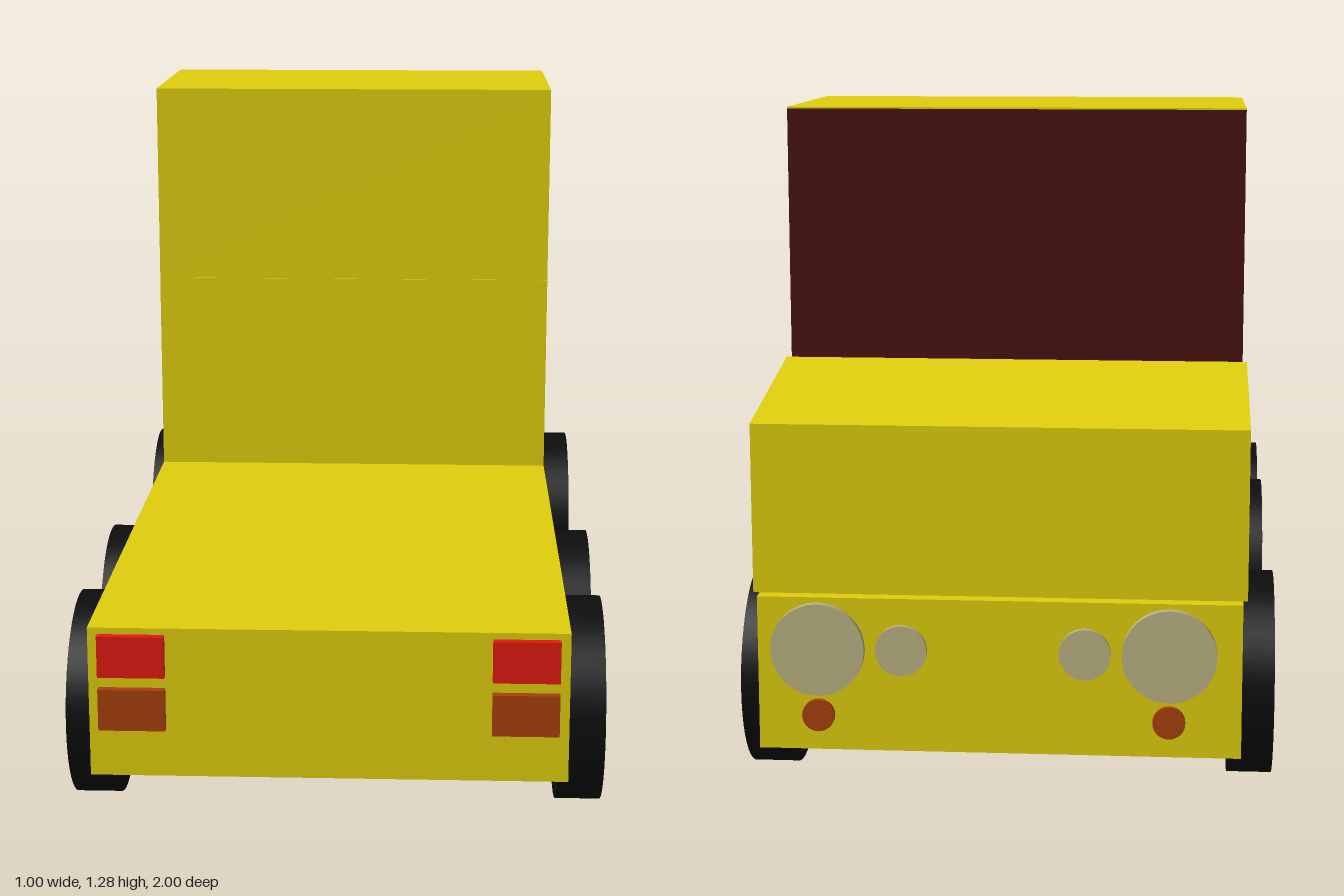
import * as THREE from 'three';

const mat = (color) => new THREE.MeshStandardMaterial({ color });

export function createModel() {
  const truck = new THREE.Group();
  truck.name = 'truck';
  const yellow = mat(0xdfce0c), glass = mat(0x481010), rubber = mat(0x0d0d0d);
  const red = mat(0xe01a10), amber = mat(0xa8400e), lampGlass = mat(0xbab384);
  const midX = -0.005; // the body sits slightly off the wheel centreline

  const add = (name, geometry, material) => {
    const mesh = new THREE.Mesh(geometry, material);
    mesh.name = name;
    truck.add(mesh);
    return mesh;
  };
  // Box given by its minimum and maximum corners
  const box = (name, material, [x0, y0, z0], [x1, y1, z1]) =>
    add(name, new THREE.BoxGeometry(x1 - x0, y1 - y0, z1 - z0), material)
      .position.set((x0 + x1) / 2, (y0 + y1) / 2, (z0 + z1) / 2);

  // Flat chassis bed
  box('chassis', yellow, [-0.435, 0.155, -0.985], [0.425, 0.435, 0.985]);

  // Cab: painted lower half, dark glazing, painted roof and rear wall
  box('cabBody', yellow, [-0.435, 0.435, -0.598], [0.425, 0.86, -0.138]);
  box('cabWindows', glass, [-0.435, 0.86, -0.598], [0.425, 1.276, -0.144]);
  box('windscreen', glass, [-0.435, 0.437, -0.601], [0.425, 1.276, -0.598]);
  box('cabRoof', yellow, [-0.435, 1.276, -0.601], [0.425, 1.279, -0.14]);
  box('cabRearWall', yellow, [-0.435, 0.86, -0.144], [0.425, 1.276, -0.14]);

  // Bonnet with a sloping top, extruded across the width
  const side = new THREE.Shape([
    new THREE.Vector2(0.61, 0.44), new THREE.Vector2(0.976, 0.44),
    new THREE.Vector2(0.976, 0.745), new THREE.Vector2(0.61, 0.805),
  ]);
  const bonnet = add('bonnet', new THREE.ExtrudeGeometry(side, { depth: 0.876, bevelEnabled: false }), yellow);
  bonnet.rotation.y = Math.PI / 2;
  bonnet.position.x = midX - 0.438;

  for (const s of [-1, 1]) {
    const label = s > 0 ? 'Left' : 'Right';

    // Three wheels per side
    [-0.59, 0.237, 0.667].forEach((z, i) => {
      const wheel = add(`wheel${label}${i + 1}`, new THREE.CylinderGeometry(0.194, 0.194, 0.085, 48), rubber);
      wheel.rotation.z = Math.PI / 2;
      wheel.position.set(s * 0.4575, 0.196, z);
    });

    // Round lamps on the nose
    const lamp = (name, material, x, y, r, depth) => {
      const disc = add(name + label, new THREE.CylinderGeometry(r, r, depth, 32), material);
      disc.rotation.x = Math.PI / 2;
      disc.position.set(midX + 0.01 + s * x, y, -0.985 - depth / 2);
    };
    lamp('headlight', lampGlass, 0.312, 0.342, 0.084, 0.014);
    lamp('innerHeadlight', lampGlass, 0.163, 0.342, 0.046, 0.01);
    lamp('indicator', amber, 0.312, 0.22, 0.029, 0.01);

    // Rectangular tail lights
    const x = midX + s * 0.352;
    box('brakeLight' + label, red, [x - 0.06, 0.346, 0.985], [x + 0.06, 0.423, 1.0]);
    box('rearIndicator' + label, amber, [x - 0.06, 0.246, 0.985], [x + 0.06, 0.323, 1.0]);
  }
  return truck;
}
